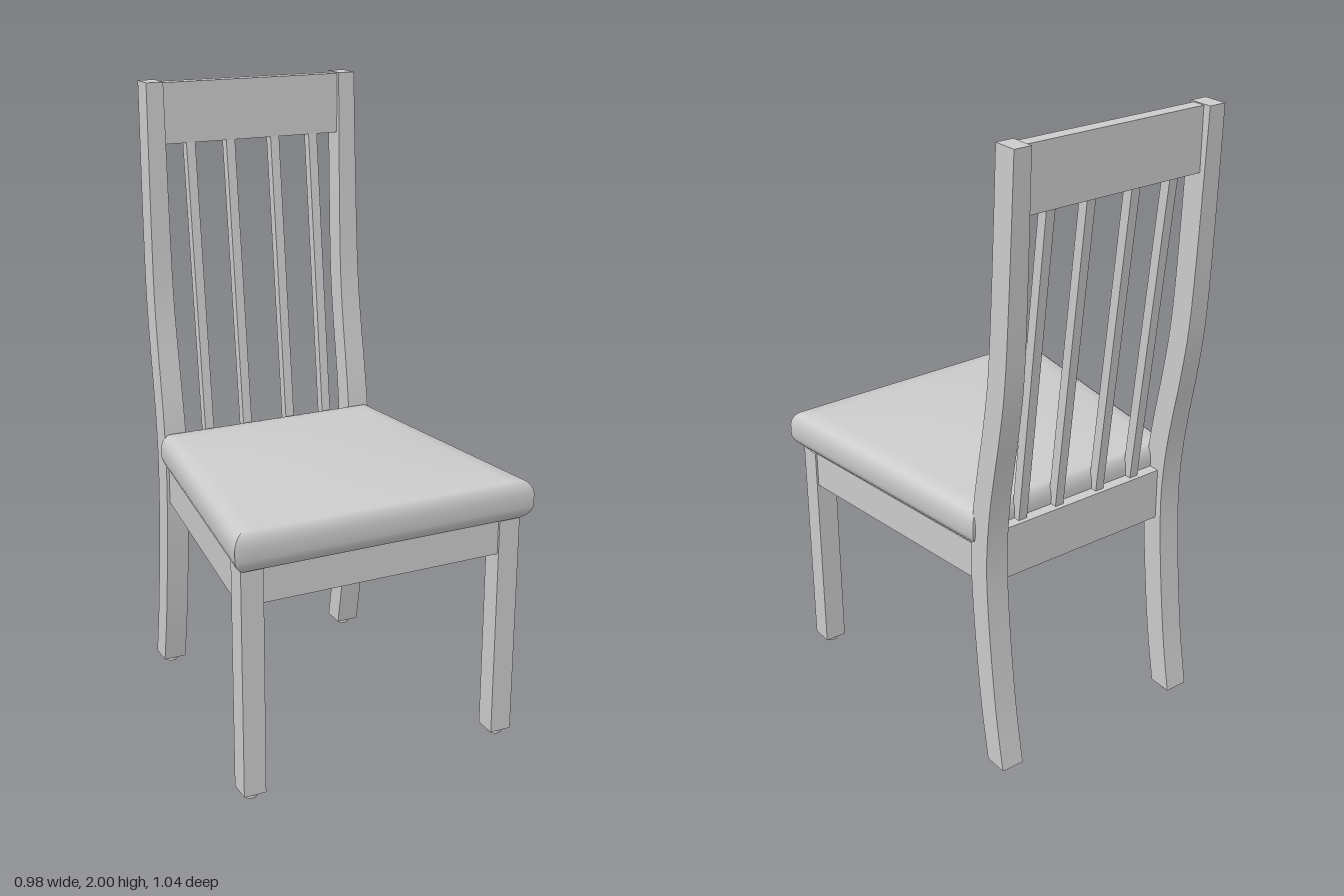
import * as THREE from 'three';
import { mergeVertices, toCreasedNormals } from 'three/addons/utils/BufferGeometryUtils.js';

const material = new THREE.MeshStandardMaterial({ color: 0xcccccc });

// Welds a reshaped box and keeps only its real edges sharp
function smooth(geometry, crease) {
  geometry.deleteAttribute('normal');
  geometry.deleteAttribute('uv');
  return toCreasedNormals(mergeVertices(geometry, 1e-5), crease);
}

// Upright prism over a plan outline of [x, z] corners
function prism(corners, y0, y1) {
  const shape = new THREE.Shape(corners.map(([x, z]) => new THREE.Vector2(x, z)));
  const geometry = new THREE.ExtrudeGeometry(shape, { depth: y1 - y0, bevelEnabled: false });
  return geometry.rotateX(Math.PI / 2).translate(0, y1, 0);
}

// Box given by its limits
function block(x0, x1, y0, y1, z0, z1) {
  return new THREE.BoxGeometry(x1 - x0, y1 - y0, z1 - z0)
    .translate((x0 + x1) / 2, (y0 + y1) / 2, (z0 + z1) / 2);
}

// Centre line of the back posts as (z, y)
const postCurve = new THREE.SplineCurve([
  [-0.452, 0.02], [-0.42, 0.2], [-0.395, 0.4], [-0.377, 0.6], [-0.373, 0.75], [-0.385, 0.9],
  [-0.409, 1.05], [-0.427, 1.15], [-0.452, 1.33], [-0.467, 1.6], [-0.481, 2],
].map(([z, y]) => new THREE.Vector2(z, y)));

// Back leg and post in one curved piece, tapering towards the top
function backPost(side) {
  const geometry = new THREE.BoxGeometry(1, 1, 1, 1, 40, 1);
  const p = geometry.attributes.position;
  for (let i = 0; i < p.count; i++) {
    const c = postCurve.getPoint(p.getY(i) + 0.5);
    const t = THREE.MathUtils.clamp((c.y - 0.7) / 1.3, 0, 1);
    const centre = THREE.MathUtils.lerp(0.338, 0.333, t);
    const width = THREE.MathUtils.lerp(0.076, 0.056, t);
    p.setXYZ(i, side * centre + p.getX(i) * width, c.y, c.x + p.getZ(i) * 0.078);
  }
  return smooth(geometry, 0.7);
}

// Seat cushion: tapered plan, rounded rim and a slightly crowned top
function cushion() {
  const rim = [ // [height, inset]
    [0.755, 0.03], [0.765, 0.016], [0.778, 0.006], [0.795, 0], [0.835, 0],
    [0.85, 0.003], [0.862, 0.009], [0.871, 0.016], [0.878, 0.026],
  ];
  const geometry = new THREE.BoxGeometry(2, 1, 2, 20, rim.length - 1, 20);
  const p = geometry.attributes.position;
  for (let i = 0; i < p.count; i++) {
    const u = p.getX(i), v = p.getZ(i);
    const layer = Math.round((p.getY(i) + 0.5) * (rim.length - 1));
    const [height, inset] = rim[layer];
    const z = 0.085 + v * (0.44 - inset * 0.7);
    const halfWidth = THREE.MathUtils.mapLinear(z, -0.355, 0.525, 0.383, 0.492);
    const crown = layer === rim.length - 1 ? 0.022 * (1 - u * u) * (1 - v * v) : 0;
    p.setXYZ(i, u * (halfWidth - inset), height + crown, z);
  }
  return smooth(geometry, 0.9);
}

// Straight leaning slat
function slat(x) {
  const geometry = new THREE.BoxGeometry(0.03, 1.06, 0.034);
  const p = geometry.attributes.position;
  for (let i = 0; i < p.count; i++) {
    const y = 1.3 + p.getY(i);
    p.setXYZ(i, x + p.getX(i), y, p.getZ(i) - 0.354 - (y - 0.77) * 0.114);
  }
  geometry.computeVertexNormals();
  return geometry;
}

export function createModel() {
  const chair = new THREE.Group();
  chair.name = 'chair';
  const add = (name, geometry) => {
    const mesh = new THREE.Mesh(geometry, material);
    mesh.name = name;
    chair.add(mesh);
  };

  add('seatCushion', cushion());

  // Legs, feet and side aprons, mirrored
  for (const side of [1, -1]) {
    const label = side > 0 ? 'left' : 'right';
    const [x0, x1] = [0.392 * side, 0.463 * side].sort((a, b) => a - b);
    add(label + 'FrontLeg', block(x0, x1, 0.02, 0.758, 0.423, 0.495));
    add(label + 'BackPost', backPost(side));
    for (const [name, x, z] of [['FrontFoot', 0.428, 0.459], ['BackFoot', 0.338, -0.452]]) {
      add(label + name, new THREE.CylinderGeometry(0.021, 0.021, 0.024, 20).translate(x * side, 0.012, z));
    }
    add(label + 'SideApron', prism([
      [0.458 * side, 0.43], [0.418 * side, 0.43], [0.325 * side, -0.345], [0.365 * side, -0.345],
    ], 0.64, 0.758));
  }

  // Cross pieces
  add('frontApron', block(-0.395, 0.395, 0.64, 0.758, 0.45, 0.488));
  add('backApron', block(-0.305, 0.305, 0.64, 0.81, -0.39, -0.35));
  add('topRail', block(-0.308, 0.308, 1.805, 1.997, -0.495, -0.453));

  // Back slats
  for (const x of [-0.213, -0.076, 0.08, 0.217]) add('backSlat', slat(x));

  return chair;
}
